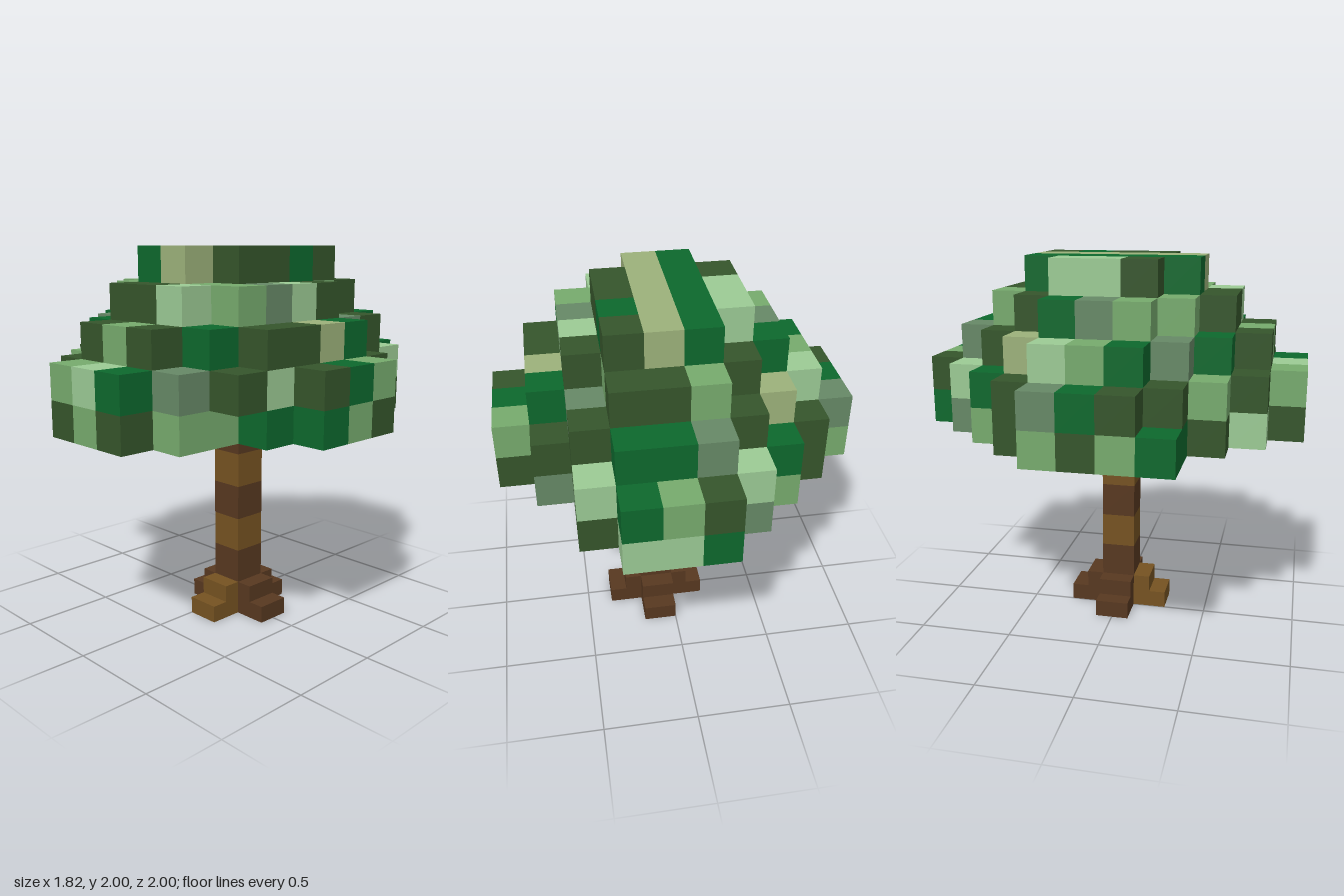
import * as THREE from 'three';
import { mergeGeometries } from 'three/addons/utils/BufferGeometryUtils.js';

const U = 2 / 11; // one block
const mat = (name, color) => {
  const m = new THREE.MeshStandardMaterial({ color });
  m.name = name;
  return m;
};

// leaf colours by letter
const LEAF = {
  D: ['darkOlive', 0x35552b], G: ['deepGreen', 0x0d682d], M: ['midGreen', 0x76aa6d],
  L: ['paleGreen', 0x9bca94], S: ['greyGreen', 0x668866], Y: ['khakiGreen', 0x9cb17a],
};

// first and last column of each row, per layer; key is the row's z index
const span = (first, pairs) => Object.fromEntries(pairs.map((p, n) => [first + n, p]));
const LAYERS = [
  span(-5, [[-1, 1], [-2, 2], [-3, 2], [-4, 3], [-5, 4], [-5, 4], [-5, 4], [-5, 3], [-3, 2], [-2, 2], [-1, 1]]),
  span(-5, [[-1, 1], [-2, 2], [-3, 2], [-4, 3], [-5, 4], [-5, 4], [-5, 4], [-4, 3], [-3, 3], [-2, 2], [-1, 1]]),
  span(-4, [[-1, 1], [-2, 2], [-3, 2], [-4, 3], [-4, 3], [-4, 3], [-3, 3], [-2, 2], [-1, 1]]),
  span(-3, [[-1, 1], [-2, 1], [-3, 2], [-3, 2], [-3, 2], [-2, 2], [-1, 1]]),
  span(-2, [[-1, 1], [-2, 1], [-2, 1], [-2, 1], [-1, 0]]),
];

// leaf colours from above (rows back to front, columns -x to +x)
const TOP = [
  '....DMG...', '...LSGGL..', '..GDMDDD..', '.DYDGYDSD.', 'SLGLGYGDGM', 'GMSLGYDLYG',
  'DGMDGYDSDD', 'GDSMGYMMD.', '..MGDDLGD.', '...DDMDS..', '....MLG...',
];
// side colours for each layer, bottom to top
const FRONT = ['GGDLDMDMGG', 'DDMDMLGSDD', '.GSGDMDGD.', '..MMDDLM..', '...DGYD...'];
const RIGHT = ['LDSSDMGGMMD', 'GLDDMGDLDSG', '.GDSGYDDGD.', '..DMDLSML..', '...DGDDY...']; // z -5 to 5
// lowest layer along the back left slope, by column
const BACK = { '-1': 'G', '-2': 'S', '-3': 'M', '-4': 'D', '-5': 'M', 0: 'L', 1: 'L' };

const inside = (i, l, k) => {
  const r = LAYERS[l]?.[k];
  return !!r && i >= r[0] && i <= r[1];
};
// the crown is a shell one block thick
const solid = (i, l, k) => {
  if (!inside(i, l, k)) return false;
  if (!inside(i, l + 1, k)) return true;
  for (let a = -1; a <= 1; a++)
    for (let b = -1; b <= 1; b++) if (!inside(i + a, l, k + b)) return true;
  return false;
};
const leafColour = (i, l, k) => {
  if (!inside(i, l + 1, k)) return TOP[k + 5][i + 5];
  if (!inside(i, l, k + 1) && k > 0) return FRONT[l][i + 5];
  if (!inside(i + 1, l, k)) return RIGHT[l][k + 5];
  if (l === 0 && k < 0 && !inside(i, l, k - 1)) return BACK[i] ?? 'D';
  const h = Math.abs(i * 73 + l * 151 + k * 37 + i * k * 11) % 12;
  return 'DGDMGDLSMDGM'[h];
};

// one square for each exposed side of a block
const SIDES = [[1, 0, 0], [-1, 0, 0], [0, 1, 0], [0, -1, 0], [0, 0, 1], [0, 0, -1]];
function blockSide(i, l, k, [dx, dy, dz]) {
  const g = new THREE.PlaneGeometry(U, U);
  if (dx) g.rotateY((dx * Math.PI) / 2);
  if (dy) g.rotateX((-dy * Math.PI) / 2);
  if (dz < 0) g.rotateY(Math.PI);
  return g.translate((i + 0.5 + dx / 2) * U, (l + 6.5 + dy / 2) * U, (k + dz / 2) * U);
}

function makeCrown() {
  const crown = new THREE.Group();
  crown.name = 'crown';
  const parts = {};
  LAYERS.forEach((rows, l) => {
    for (let k = -5; k <= 5; k++) {
      for (let i = -5; i <= 4; i++) {
        if (!solid(i, l, k)) continue;
        const list = (parts[leafColour(i, l, k)] ??= []);
        for (const s of SIDES)
          if (!solid(i + s[0], l + s[1], k + s[2])) list.push(blockSide(i, l, k, s));
      }
    }
  });
  for (const [key, list] of Object.entries(parts)) {
    if (!list.length) continue;
    const [name, hex] = LEAF[key];
    const mesh = new THREE.Mesh(mergeGeometries(list), mat(name, hex));
    mesh.name = name + 'Leaves';
    crown.add(mesh);
  }
  return crown;
}

export function createModel() {
  const tree = new THREE.Group();
  tree.name = 'tree';
  const dark = mat('darkBark', 0x573820);
  const light = mat('lightBark', 0x755221);

  // sizes and positions in blocks, measured from the trunk's foot
  const box = (name, material, w, h, d, x, y, z) => {
    const m = new THREE.Mesh(new THREE.BoxGeometry(w * U, h * U, d * U), material);
    m.position.set((x + 0.5) * U, (y + h / 2) * U, z * U);
    m.name = name;
    tree.add(m);
  };

  // banded trunk
  for (let n = 0; n < 6; n++) box('trunkBand', n % 2 ? dark : n ? light : dark, 1, 1, 1, 0, n, 0);
  // bands alternate upward from the dark foot
  tree.children.forEach((m, n) => { if (n > 0) m.material = n % 2 ? dark : light; });

  // stepped roots and branches on four sides
  for (const [dx, dz] of [[1, 0], [-1, 0], [0, 1], [0, -1]]) {
    const arm = (name, material, from, to, y, h) => {
      const c = (from + to) / 2, len = to - from;
      box(name, material, dx ? len : 1, h, dz ? len : 1, dx * c, y, dz * c);
    };
    const rootBark = dz > 0 ? light : dark;
    arm('rootLower', rootBark, 0.5, 1.5, 0, 0.5);
    arm('rootUpper', rootBark, 0.5, 1, 0.5, 0.5);
    arm('branch', dx < 0 || dz < 0 ? light : dark, 1.5, 3.5, 7, 1);
    if (dx < 0 || dz > 0) arm('branchBase', dark, 1.5, 2.5, 6, 1);
  }
  // fork where the branches leave the trunk
  box('trunkFork', dark, 3, 1, 3, 0, 6, 0);

  tree.add(makeCrown());
  return tree;
}
